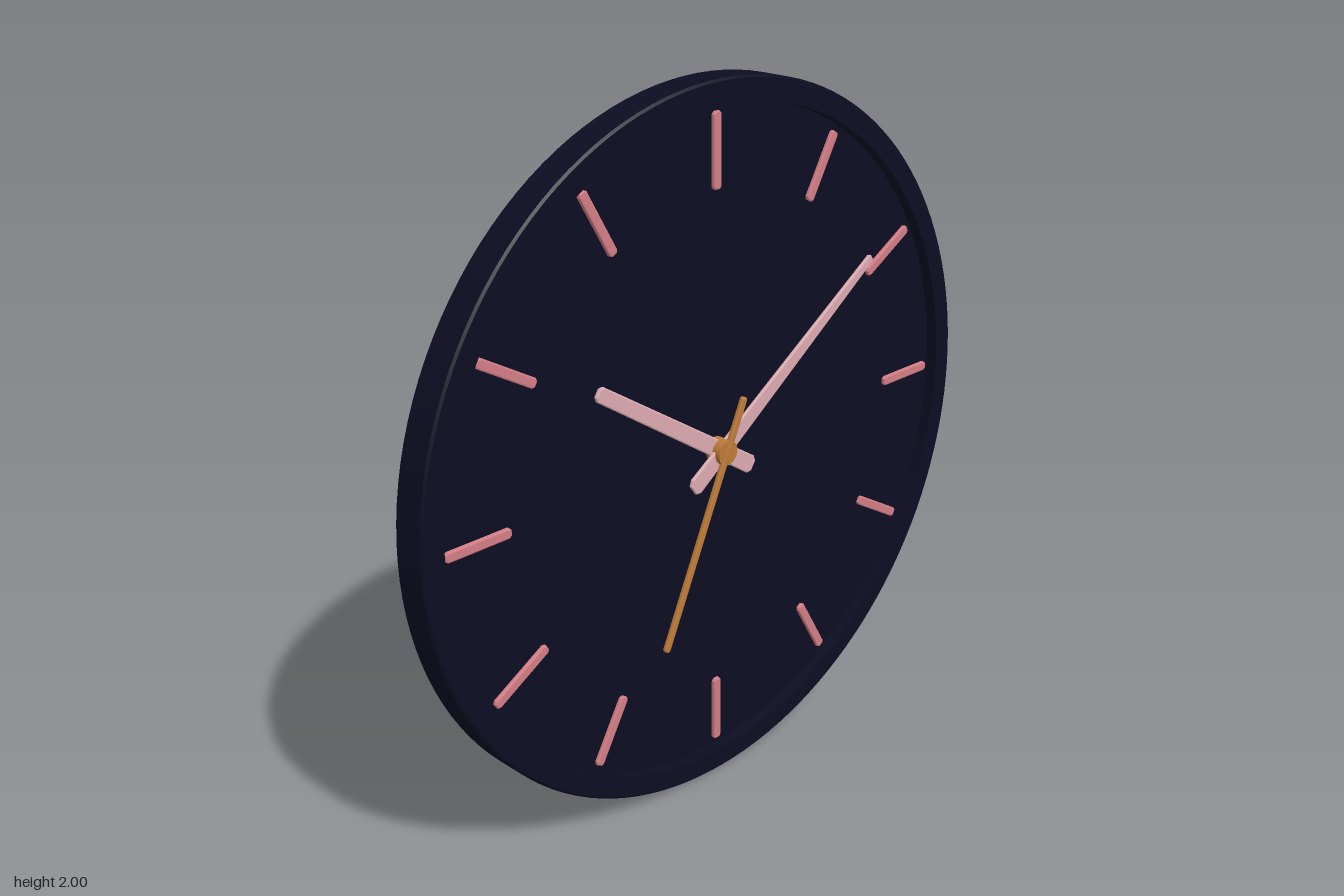
import * as THREE from 'three';

const mat = (name, color) => {
  const m = new THREE.MeshStandardMaterial({ color });
  m.name = name;
  return m;
};

// Tapered bar with softened edges, pointing along +y; its front surface lies at z = front
function bar(name, from, to, wFrom, wTo, thick, front, material) {
  const b = Math.min(0.004, thick / 3);
  const a = wFrom / 2 - b, c = wTo / 2 - b, y0 = from + b, y1 = to - b;
  const s = new THREE.Shape([
    [-a * 0.6, y0], [a * 0.6, y0], [a, y0 + a * 0.5],
    [c, y1 - c * 0.5], [c * 0.6, y1], [-c * 0.6, y1],
    [-c, y1 - c * 0.5], [-a, y0 + a * 0.5],
  ].map(p => new THREE.Vector2(...p)));
  const g = new THREE.ExtrudeGeometry(s, {
    depth: thick - 2 * b, bevelThickness: b, bevelSize: b, bevelSegments: 2,
  });
  g.translate(0, 0, front - thick + b);
  const mesh = new THREE.Mesh(g, material);
  mesh.name = name;
  return mesh;
}

export function createModel() {
  const navy = mat('navy', 0x0d0d23);
  const rose = mat('rose', 0xd27c84);
  const blush = mat('blush', 0xdcabb1);
  const gold = mat('gold', 0xbd7b38);

  const clock = new THREE.Group();
  clock.name = 'wallClock';
  const dial = new THREE.Group();
  dial.name = 'dial';
  dial.position.y = 1;
  clock.add(dial);

  // Rim: closed ring profile, [radius, z]; points repeat at corners to keep them crisp
  const corners = [
    [0.935, -0.06], [0.994, -0.06], [1, -0.054], [1, 0.036],
    [0.994, 0.042], [0.935, 0.042], [0.935, -0.06],
  ];
  const rim = new THREE.Group();
  rim.name = 'rim';
  for (let i = 0; i < corners.length - 1; i++) {
    const g = new THREE.LatheGeometry(
      [corners[i], corners[i + 1]].map(p => new THREE.Vector2(...p)), 128);
    g.rotateX(Math.PI / 2);
    rim.add(new THREE.Mesh(g, navy));
  }
  dial.add(rim);

  // Face plate, recessed in the rim on both sides
  const plate = new THREE.CylinderGeometry(0.937, 0.937, 0.04, 128);
  plate.rotateX(Math.PI / 2);
  const face = new THREE.Mesh(plate, navy);
  face.name = 'face';
  face.position.z = -0.012;
  dial.add(face);

  // Twelve hour markers
  for (let i = 0; i < 12; i++) {
    const m = bar('hourMarker', 0.715, 0.915, 0.028, 0.028, 0.014, 0.019, rose);
    m.rotation.z = -i * Math.PI / 6;
    dial.add(m);
  }

  // Hands, each aimed at its tip position
  const hand = (name, x, y, tail, wTail, wTip, thick, front, material) => {
    const h = bar(name, -tail, Math.hypot(x, y), wTail, wTip, thick, front, material);
    h.rotation.z = -Math.atan2(x, y);
    dial.add(h);
  };
  hand('hourHand', -0.435, 0.285, 0.155, 0.052, 0.042, 0.012, 0.031, blush);
  hand('minuteHand', 0.605, 0.415, 0.14, 0.056, 0.026, 0.011, 0.043, blush);
  hand('secondHand', -0.237, -0.517, 0.158, 0.02, 0.02, 0.014, 0.06, gold);

  // Centre hub
  const pin = new THREE.CylinderGeometry(0.035, 0.035, 0.051, 32);
  pin.rotateX(Math.PI / 2);
  const hub = new THREE.Mesh(pin, gold);
  hub.name = 'hub';
  hub.position.z = 0.0325;
  dial.add(hub);

  return clock;
}
